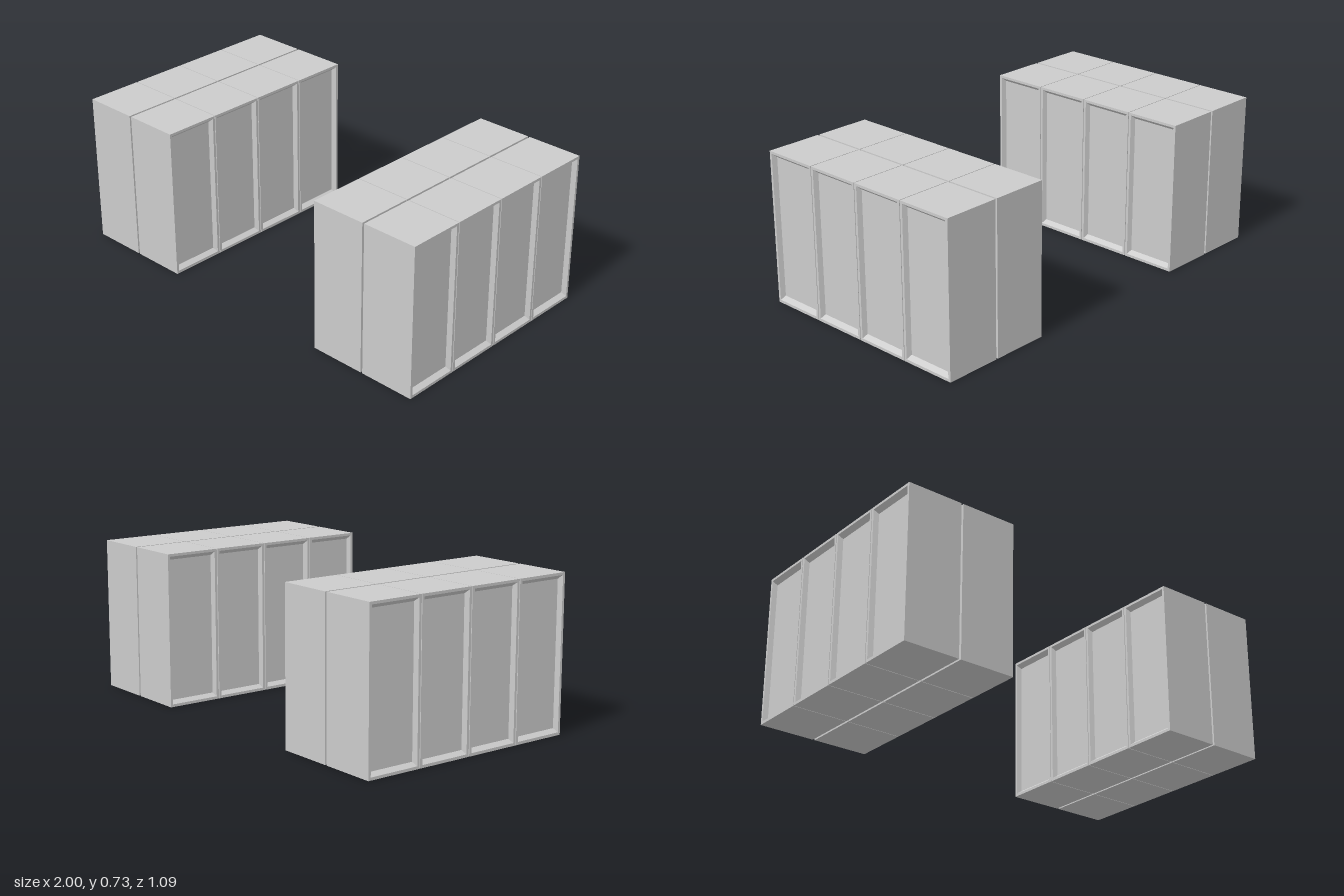
import * as THREE from 'three';

const W = 0.271, H = 0.727, D = 0.27;      // one cabinet: width, height, depth
const PITCH = 0.2745, GAP = 0.01;          // spacing along a row, gap between backs
const CENTER = 0.724;                      // x of the middle of each block

// Closed box whose front (+z) has a rim and a sloping recess, from rectangular loops
function cabinetGeometry() {
  const loop = (side, bottom, top, z) => [
    [-W / 2 + side, bottom, z], [W / 2 - side, bottom, z],
    [W / 2 - side, H - top, z], [-W / 2 + side, H - top, z],
  ];
  const loops = [
    loop(0, 0, 0, 0),                      // back
    loop(0, 0, 0, D),                      // front outer edge
    loop(0.012, 0.013, 0.012, D),          // rim
    loop(0.021, 0.029, 0.03, D - 0.022),   // recessed panel
  ];
  const pos = [];
  const quad = (a, b, c, d) => pos.push(...a, ...b, ...c, ...a, ...c, ...d);
  for (let i = 0; i < loops.length - 1; i++) {
    for (let k = 0; k < 4; k++) {
      const n = (k + 1) % 4;
      quad(loops[i][k], loops[i][n], loops[i + 1][n], loops[i + 1][k]);
    }
  }
  quad(...loops[3]);
  quad(...loops[0].slice().reverse());
  const geo = new THREE.BufferGeometry();
  geo.setAttribute('position', new THREE.Float32BufferAttribute(pos, 3));
  geo.computeVertexNormals();
  return geo;
}

export function createModel() {
  const model = new THREE.Group();
  model.name = 'cabinetRows';
  const material = new THREE.MeshStandardMaterial({ color: 0xcccccc, flatShading: true });
  const geometry = cabinetGeometry();

  // Two blocks, each with two rows of four cabinets standing back to back
  for (const side of [-1, 1]) {
    const block = new THREE.Group();
    block.name = side > 0 ? 'leftBlock' : 'rightBlock';
    block.position.x = side * CENTER;
    for (const face of [-1, 1]) {
      const row = new THREE.Group();
      row.name = face > 0 ? 'leftFacingRow' : 'rightFacingRow';
      for (let i = 0; i < 4; i++) {
        const cabinet = new THREE.Mesh(geometry, material);
        cabinet.name = 'cabinet';
        cabinet.rotation.y = face * Math.PI / 2;
        cabinet.position.set(face * GAP / 2, 0, (i - 1.5) * PITCH);
        row.add(cabinet);
      }
      block.add(row);
    }
    model.add(block);
  }
  return model;
}
